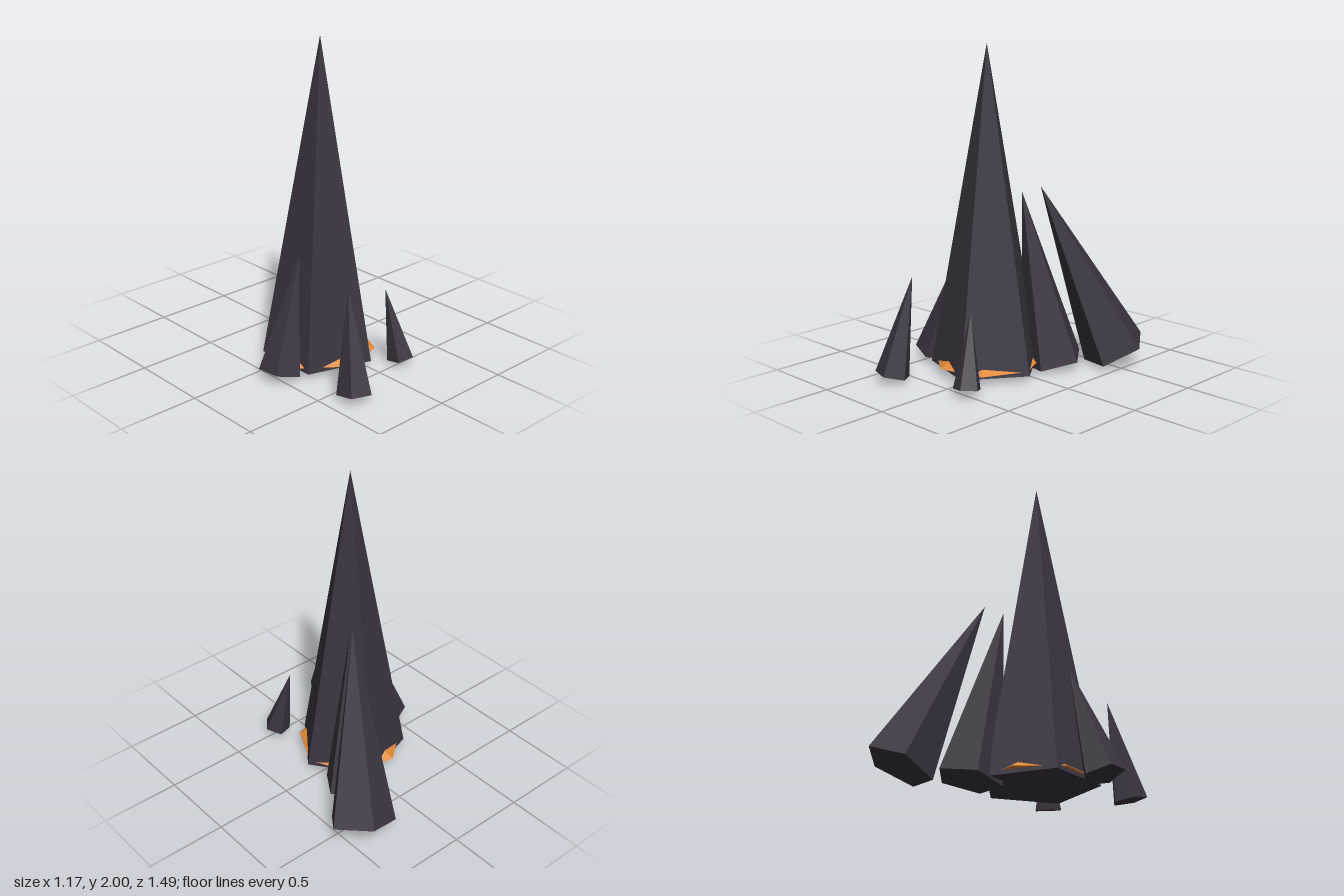
import * as THREE from 'three';

const rock = new THREE.MeshStandardMaterial({ color: 0x3a3440 });
rock.name = 'dark rock';
const ember = new THREE.MeshStandardMaterial({ color: 0xe0873a });
ember.name = 'glowing orange';

// Faceted cone standing on its base centre, leaning to its tip, with one base corner pointing at `corner`
function spike(name, tip, centre, corner, sides = 5, material = rock) {
  const base = new THREE.Vector3(...centre);
  const axis = new THREE.Vector3(...tip).sub(base);
  const height = axis.length();
  axis.normalize();
  const out = new THREE.Vector3(...corner).sub(base);
  out.addScaledVector(axis, -out.dot(axis));
  const radius = out.length();
  out.normalize();
  const side = new THREE.Vector3().crossVectors(axis, out);

  const geometry = new THREE.ConeGeometry(radius, height, sides).toNonIndexed();
  geometry.translate(0, height / 2, 0);
  geometry.applyMatrix4(new THREE.Matrix4().makeBasis(side, axis, out).setPosition(base));
  geometry.computeVertexNormals(); // one normal per facet

  const mesh = new THREE.Mesh(geometry, material);
  mesh.name = name;
  return mesh;
}

export function createModel() {
  const group = new THREE.Group();
  group.name = 'rockSpires';
  group.add(
    // Central spire and the ember mound showing through its foot
    spike('mainSpire', [-0.09, 2, 0.075], [-0.09, 0.04, 0.075], [0.262, 0.04, 0.075]),
    spike('emberMound', [-0.09, 0.27, 0.075], [-0.09, 0.065, 0.075], [0.248, 0.065, 0.075], 7, ember),
    // Leaning spires behind
    spike('outerBackSpire', [0.11, 1.14, -0.18], [0.384, 0.086, -0.576], [0.585, 0.14, -0.56]),
    spike('innerBackSpire', [0.04, 1.11, -0.09], [0.157, 0.045, -0.25], [0.352, 0.065, -0.255]),
    // Small spires at the side and in front
    spike('sideSpire', [-0.29, 0.725, 0.115], [-0.481, 0.05, 0.154], [-0.585, 0.075, 0.08]),
    spike('frontLeftShard', [-0.28, 0.64, 0.515], [-0.334, 0.045, 0.634], [-0.226, 0.035, 0.636]),
    spike('frontRightShard', [0.12, 0.49, 0.42], [0.176, 0.05, 0.507], [0.26, 0.061, 0.507])
  );
  return group;
}
